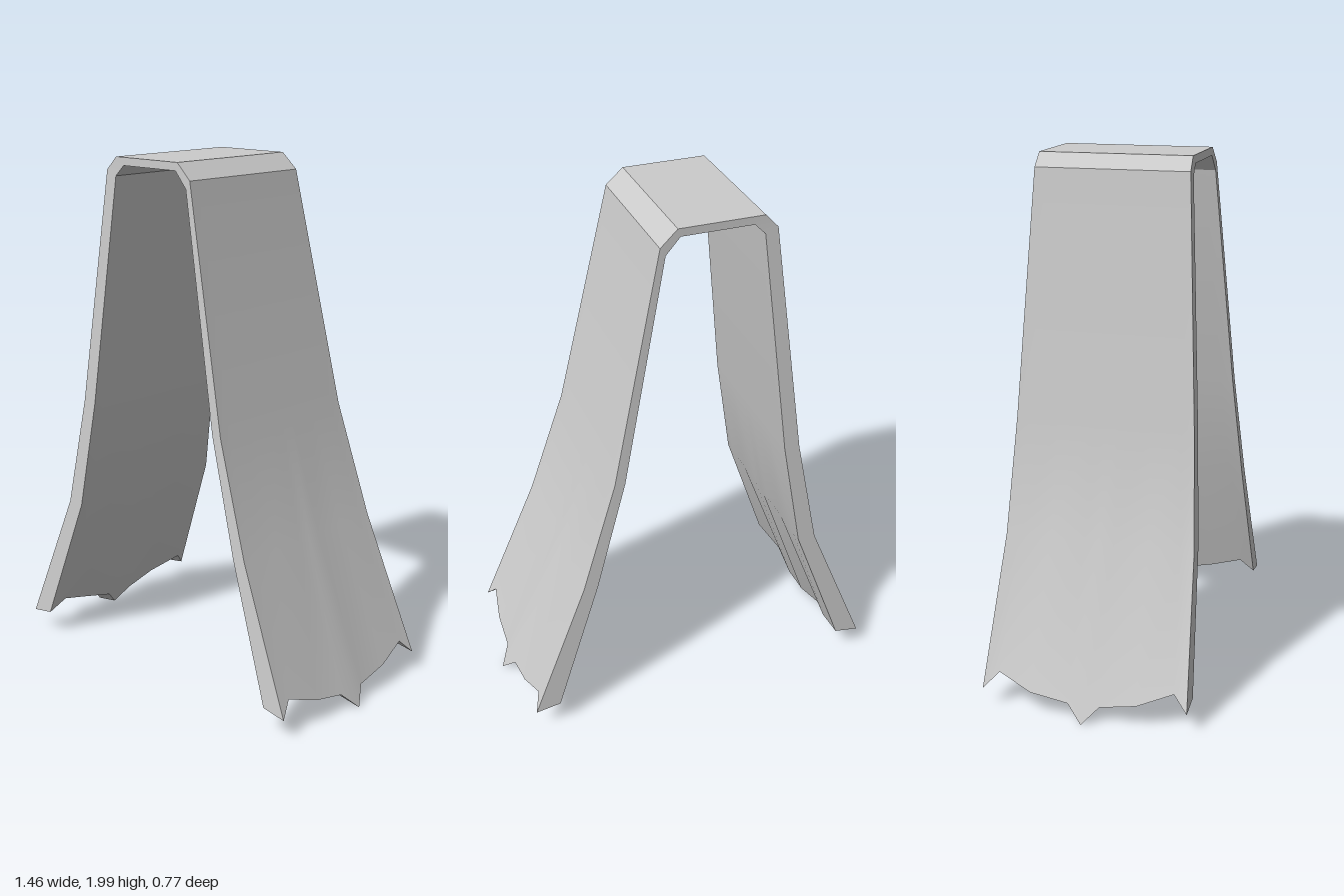
import * as THREE from 'three';
import { toCreasedNormals } from 'three/addons/utils/BufferGeometryUtils.js';

// Bends of the cloth from right leg over the top to left leg: outer x, y, inner x, y
const BENDS = [
  [-0.485, 0.62, -0.415, 0.62],
  [-0.405, 1.05, -0.345, 1.05],
  [-0.297, 1.95, -0.25, 1.93],
  [-0.25, 2, -0.21, 1.97],
  [0.07, 2, 0.06, 1.97],
  [0.135, 1.94, 0.115, 1.91],
  [0.33, 1.05, 0.29, 1.05],
  [0.47, 0.62, 0.415, 0.62],
];

// Ragged hem from centre to edge: z, y, outer x of right leg, outer x of left leg
const HEM = [
  [0, 0.01, -0.73, 0.73],
  [0.06, 0.07, -0.695, 0.69],
  [0.2, 0.1, -0.705, 0.687],
  [0.33, 0.145, -0.665, 0.665],
  [0.385, 0.09, -0.7, 0.69],
];
const HEM_WIDTH = 0.385;
const halfWidth = (y) => 0.39 - 0.054 * y;

// Mirror the hem about z = 0 to get all the columns
const COLUMNS = [
  ...HEM.slice(1).reverse().map(([z, ...rest]) => [-z, ...rest]),
  ...HEM,
];

// One row of hem points for a leg
function hemRow(side) {
  return COLUMNS.map(([z, y, xRight, xLeft]) => {
    const x = side < 0 ? xRight : xLeft;
    return {
      outer: [x, y, z],
      inner: [x - side * 0.097, y + 0.016, z],
    };
  });
}

// One straight row across the cloth
function bendRow([ox, oy, ix, iy]) {
  return COLUMNS.map(([z]) => {
    const zz = (z / HEM_WIDTH) * halfWidth(oy);
    return { outer: [ox, oy, zz], inner: [ix, iy, zz] };
  });
}

function clothGeometry() {
  const rows = [hemRow(-1), ...BENDS.map(bendRow), hemRow(1)];
  const positions = [];
  const quad = (a, b, c, d) => positions.push(...a, ...b, ...c, ...a, ...c, ...d);
  const lastRow = rows.length - 1;
  const lastCol = COLUMNS.length - 1;

  for (let j = 0; j < lastRow; j++) {
    const p = rows[j], q = rows[j + 1];
    // outer and inner faces
    for (let k = 0; k < lastCol; k++) {
      quad(p[k].outer, p[k + 1].outer, q[k + 1].outer, q[k].outer);
      quad(p[k].inner, q[k].inner, q[k + 1].inner, p[k + 1].inner);
    }
    // back and front edges
    quad(p[0].outer, q[0].outer, q[0].inner, p[0].inner);
    quad(p[lastCol].outer, p[lastCol].inner, q[lastCol].inner, q[lastCol].outer);
  }
  // hem undersides
  const a = rows[0], b = rows[lastRow];
  for (let k = 0; k < lastCol; k++) {
    quad(a[k].outer, a[k].inner, a[k + 1].inner, a[k + 1].outer);
    quad(b[k].outer, b[k + 1].outer, b[k + 1].inner, b[k].inner);
  }

  const geometry = new THREE.BufferGeometry();
  geometry.setAttribute('position', new THREE.Float32BufferAttribute(positions, 3));
  return toCreasedNormals(geometry, THREE.MathUtils.degToRad(30));
}

export function createModel() {
  const group = new THREE.Group();
  group.name = 'drapedCloth';
  const cloth = new THREE.Mesh(
    clothGeometry(),
    new THREE.MeshStandardMaterial({ color: 0xcccccc }),
  );
  cloth.name = 'cloth';
  group.add(cloth);
  return group;
}
